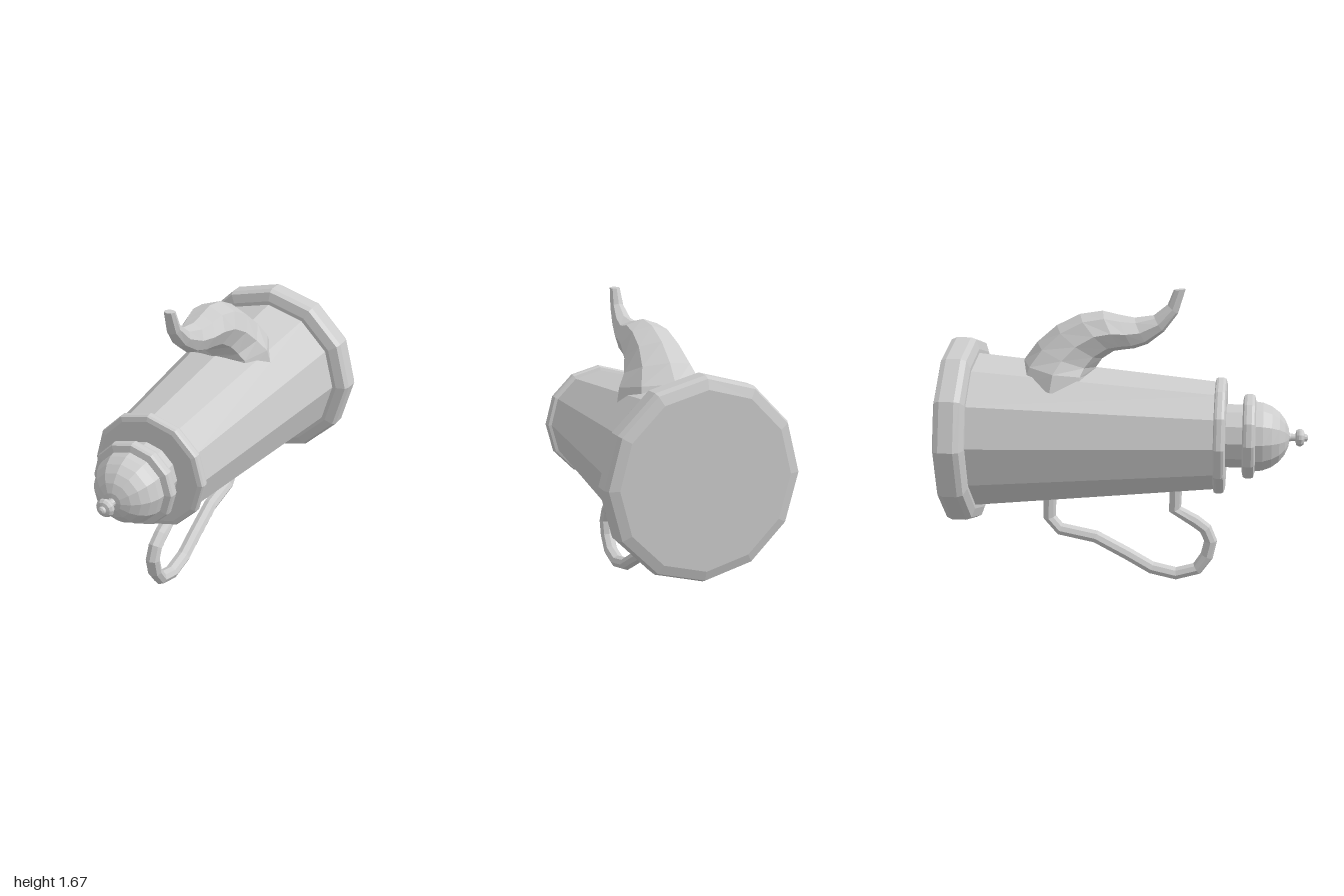
import * as THREE from 'three';

const AXIS_Y = 0.86;

function material() {
  return new THREE.MeshStandardMaterial({ color: 0xcccccc, flatShading: true });
}

// Twelve-sided turned part: profile of [radius, z] running from back to front
function turned(name, profile) {
  const geo = new THREE.LatheGeometry(profile.map(([r, z]) => new THREE.Vector2(r, z)), 12);
  geo.rotateX(Math.PI / 2);
  const mesh = new THREE.Mesh(geo, material());
  mesh.name = name;
  mesh.position.y = AXIS_Y;
  return mesh;
}

// Rounded band between z0 and z1
function band(name, z0, z1, rOuter, rInner, bevel) {
  return turned(name, [
    [0, z0], [rInner, z0], [rOuter - bevel * 0.3, z0 + bevel * 0.35], [rOuter, z0 + bevel],
    [rOuter, z1 - bevel], [rOuter - bevel * 0.3, z1 - bevel * 0.35], [rInner, z1], [0, z1],
  ]);
}

// Skin over eight-sided sections; each has upper and lower [z, y] points and a half width
function loft(name, sections, x) {
  const N = 8, pos = [], idx = [];
  for (const { upper: u, lower: l, w } of sections) {
    for (let j = 0; j < N; j++) {
      const a = (j / N) * Math.PI * 2, c = Math.cos(a) / 2;
      pos.push(w * Math.sin(a), (u[1] + l[1]) / 2 + (u[1] - l[1]) * c, (u[0] + l[0]) / 2 + (u[0] - l[0]) * c);
    }
  }
  const last = (sections.length - 1) * N;
  for (let i = 0; i < last; i += N) {
    for (let j = 0; j < N; j++) {
      const k = (j + 1) % N;
      idx.push(i + j, i + N + j, i + k, i + k, i + N + j, i + N + k);
    }
  }
  for (let j = 1; j < N - 1; j++) {
    idx.push(0, j, j + 1, last, last + j + 1, last + j);
  }
  const geo = new THREE.BufferGeometry();
  geo.setAttribute('position', new THREE.Float32BufferAttribute(pos, 3));
  geo.setIndex(idx);
  geo.computeVertexNormals();
  const mesh = new THREE.Mesh(geo, material());
  mesh.name = name;
  mesh.position.x = x;
  return mesh;
}

export function createModel() {
  const group = new THREE.Group();
  group.name = 'pot';

  // Tapered body lying along z, with its foot at the back
  group.add(turned('body', [[0, -0.9], [0.445, -0.9], [0.303, 0.52], [0, 0.52]]));
  group.add(band('footRim', -1, -0.83, 0.525, 0.46, 0.045));
  group.add(band('mouthRim', 0.485, 0.55, 0.33, 0.3, 0.02));

  // Lid: neck, rim, dome and finial
  group.add(turned('lidNeck', [[0.18, 0.52], [0.18, 0.66]]));
  group.add(band('lidRim', 0.64, 0.712, 0.24, 0.2, 0.022));
  const dome = [];
  for (let i = 0; i <= 6; i++) {
    const a = (i / 6) * Math.PI / 2;
    dome.push([0.2 * Math.cos(a), 0.7 + 0.2 * Math.sin(a)]);
  }
  group.add(turned('lidDome', dome));
  group.add(turned('finial', [
    [0.03, 0.88], [0.022, 0.905], [0.02, 0.93], [0.043, 0.937], [0.05, 0.95], [0.05, 0.962],
    [0.04, 0.975], [0.022, 0.98], [0.02, 0.993], [0.01, 1], [0, 1],
  ]));

  // Spout: wide at the body, curling to a narrow tip
  const spout = [
    [-0.61, 1.18, -0.18, 1.1, 0.255],
    [-0.575, 1.27, -0.185, 1.2, 0.235],
    [-0.5, 1.37, -0.175, 1.235, 0.19],
    [-0.39, 1.465, -0.14, 1.285, 0.16],
    [-0.26, 1.53, -0.075, 1.328, 0.143],
    [-0.135, 1.55, -0.02, 1.337, 0.127],
    [-0.045, 1.53, 0.04, 1.345, 0.108],
    [0.04, 1.515, 0.11, 1.37, 0.083],
    [0.145, 1.53, 0.2, 1.44, 0.058],
    [0.22, 1.59, 0.275, 1.54, 0.04],
    [0.252, 1.67, 0.316, 1.675, 0.03],
  ].map(([uz, uy, lz, ly, w]) => ({ upper: [uz, uy], lower: [lz, ly], w }));
  group.add(loft('spout', spout, -0.013));

  // Handle: bar of constant thickness along a bent path of [z, y]
  const path = [
    [0.275, 0.6], [0.272, 0.43], [0.385, 0.365], [0.445, 0.32], [0.475, 0.25],
    [0.455, 0.16], [0.4, 0.08], [0.28, 0.045], [0.14, 0.075], [0, 0.155],
    [-0.18, 0.25], [-0.385, 0.29], [-0.445, 0.36], [-0.44, 0.5],
  ];
  const R = 0.037;
  const handle = path.map(([z, y], i) => {
    const p = path[Math.max(i - 1, 0)], n = path[Math.min(i + 1, path.length - 1)];
    const len = Math.hypot(n[0] - p[0], n[1] - p[1]);
    const dz = R * (n[0] - p[0]) / len, dy = R * (n[1] - p[1]) / len;
    return { upper: [z - dy, y + dz], lower: [z + dy, y - dz], w: 0.042 };
  });
  group.add(loft('handle', handle, -0.027));

  return group;
}
